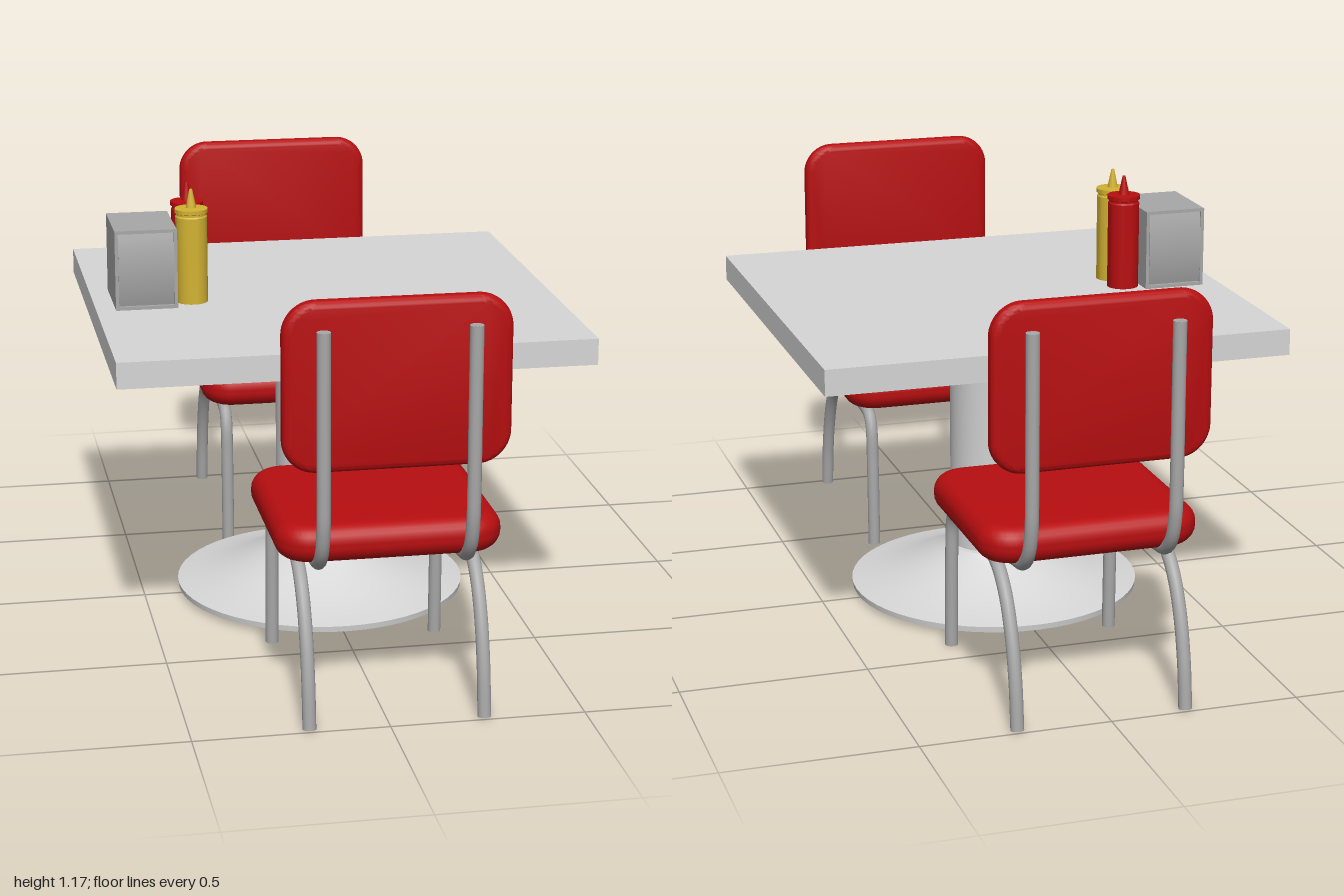
import * as THREE from 'three';
import { toCreasedNormals, mergeGeometries } from 'three/addons/utils/BufferGeometryUtils.js';

const material = (name, color) => {
  const m = new THREE.MeshStandardMaterial({ color });
  m.name = name;
  return m;
};

function mesh(name, geometry, mat, x = 0, y = 0, z = 0) {
  const m = new THREE.Mesh(geometry, mat);
  m.name = name;
  m.position.set(x, y, z);
  return m;
}

function roundedRect(w, h, r) {
  const s = new THREE.Shape(), x = w / 2, y = h / 2;
  s.moveTo(-x + r, -y);
  s.lineTo(x - r, -y);
  s.absarc(x - r, -y + r, r, -Math.PI / 2, 0);
  s.lineTo(x, y - r);
  s.absarc(x - r, y - r, r, 0, Math.PI / 2);
  s.lineTo(-x + r, y);
  s.absarc(-x + r, y - r, r, Math.PI / 2, Math.PI);
  s.lineTo(-x, -y + r);
  s.absarc(-x + r, -y + r, r, Math.PI, Math.PI * 1.5);
  return s;
}

// Padded slab with rolled edges, centred, lying in the xy plane
function cushion(w, h, depth, corner, bevel) {
  const g = new THREE.ExtrudeGeometry(
    roundedRect(w - 2 * bevel, h - 2 * bevel, corner - bevel),
    { depth: depth - 2 * bevel, bevelEnabled: true, bevelSize: bevel, bevelThickness: bevel, bevelSegments: 6, curveSegments: 10 });
  g.translate(0, 0, bevel - depth / 2);
  return toCreasedNormals(g, 0.7);
}

// Bent tube with closed ends through [z, y] points at a fixed x
function bentTube(points, x, r) {
  const curve = new THREE.CatmullRomCurve3(points.map(([z, y]) => new THREE.Vector3(x, y, z)), false, 'centripetal');
  const parts = [new THREE.TubeGeometry(curve, 56, r, 14, false)];
  for (const t of [0, 1]) {
    const cap = new THREE.CircleGeometry(r, 14);
    const dir = curve.getTangent(t).multiplyScalar(t ? 1 : -1);
    cap.applyQuaternion(new THREE.Quaternion().setFromUnitVectors(new THREE.Vector3(0, 0, 1), dir));
    const p = curve.getPoint(t);
    parts.push(cap.translate(p.x, p.y, p.z));
  }
  return mergeGeometries(parts);
}

function lathe(profile, segments) {
  const g = new THREE.LatheGeometry(profile.map(([r, y]) => new THREE.Vector2(r, y)), segments);
  return toCreasedNormals(g, 0.55);
}

function makeChair(red, steel) {
  const chair = new THREE.Group();
  const seat = mesh('seat', cushion(0.575, 0.54, 0.097, 0.09, 0.044), red, 0, 0.457, 0.663);
  seat.rotation.x = -Math.PI / 2;
  chair.add(seat);
  chair.add(mesh('backrest', cushion(0.57, 0.432, 0.046, 0.085, 0.02), red, 0, 0.876, 0.945));

  const legPath = [[0.984, 0], [0.968, 0.12], [0.935, 0.235], [0.885, 0.325], [0.82, 0.38], [0.75, 0.396],
    [0.6, 0.396], [0.48, 0.396], [0.44, 0.386], [0.419, 0.35], [0.411, 0.25], [0.407, 0.12], [0.405, 0]];
  const postPath = [[0.984, 1.022], [0.984, 0.8], [0.984, 0.6], [0.98, 0.52], [0.96, 0.455], [0.92, 0.415],
    [0.86, 0.403], [0.7, 0.403], [0.5, 0.403]];
  for (const side of [-1, 1]) {
    chair.add(mesh('legLoop', bentTube(legPath, side * 0.223, 0.0175), steel));
    chair.add(mesh('backPost', bentTube(postPath, side * 0.187, 0.0175), steel));
  }
  chair.position.x = 0.02;
  return chair;
}

function makeBottle(name, mat, z) {
  const g = lathe([[0, 0], [0.043, 0], [0.043, 0.236], [0.04, 0.24], [0.04, 0.245], [0.045, 0.247],
    [0.045, 0.258], [0.014, 0.26], [0.012, 0.272], [0.004, 0.31], [0, 0.311]], 28);
  return mesh(name, g, mat, -0.358, 0.858, z);
}

function makeNapkinHolder(steel) {
  const holder = new THREE.Group();
  holder.name = 'napkinHolder';
  const w = 0.168, h = 0.218, d = 0.218, rim = 0.009;

  // Open-ended case
  const shell = roundedRect(w, h, 0.002);
  const hole = new THREE.Path();
  const a = w / 2 - rim, b = h / 2 - rim;
  hole.moveTo(-a, -b).lineTo(-a, b).lineTo(a, b).lineTo(a, -b).closePath();
  shell.holes.push(hole);
  const caseGeo = new THREE.ExtrudeGeometry(shell, { depth: d, bevelEnabled: false, curveSegments: 2 });
  caseGeo.translate(0, 0, -d / 2);
  holder.add(mesh('case', caseGeo, steel));

  // Face plates bowing out of both ends
  const bow = new THREE.Shape();
  const inner = d / 2 - 0.01, outer = d / 2 + 0.018;
  bow.moveTo(-inner, -b);
  bow.lineTo(inner, -b);
  bow.quadraticCurveTo(outer, 0, inner, b);
  bow.lineTo(-inner, b);
  bow.quadraticCurveTo(-outer, 0, -inner, -b);
  const plates = new THREE.ExtrudeGeometry(bow, { depth: 2 * a, bevelEnabled: false, curveSegments: 14 });
  plates.translate(0, 0, -a);
  plates.rotateY(Math.PI / 2);
  holder.add(mesh('facePlates', toCreasedNormals(plates, 0.6), steel));

  holder.position.set(-0.489, 0.858 + h / 2, -0.004);
  return holder;
}

export function createModel() {
  const model = new THREE.Group();
  model.name = 'dinerTableSet';
  const white = material('paleGrey', 0xd6d6d6);
  const steel = material('steelGrey', 0xa8a8a8);
  const red = material('red', 0xb80e10);
  const yellow = material('mustardYellow', 0xd2b232);

  // Table
  model.add(mesh('tableTop', new THREE.BoxGeometry(1.25, 0.07, 1.2), white, 0, 0.823, -0.003));
  const pedestal = lathe([[0, 0.01], [0.4, 0.01], [0.402, 0.026], [0.37, 0.032], [0.32, 0.043], [0.265, 0.062],
    [0.21, 0.087], [0.165, 0.112], [0.147, 0.124], [0.136, 0.135], [0.122, 0.136], [0.122, 0.715],
    [0.125, 0.735], [0.134, 0.755], [0.15, 0.775], [0.168, 0.79]], 56);
  model.add(mesh('pedestal', pedestal, white, 0, 0, -0.004));

  // Two chairs facing each other
  const front = makeChair(red, steel);
  front.name = 'frontChair';
  const back = makeChair(red, steel);
  back.name = 'backChair';
  back.rotation.y = Math.PI;
  model.add(front, back);

  // Things on the table
  model.add(makeBottle('yellowBottle', yellow, 0.036));
  model.add(makeBottle('redBottle', red, -0.055));
  model.add(makeNapkinHolder(steel));
  return model;
}
